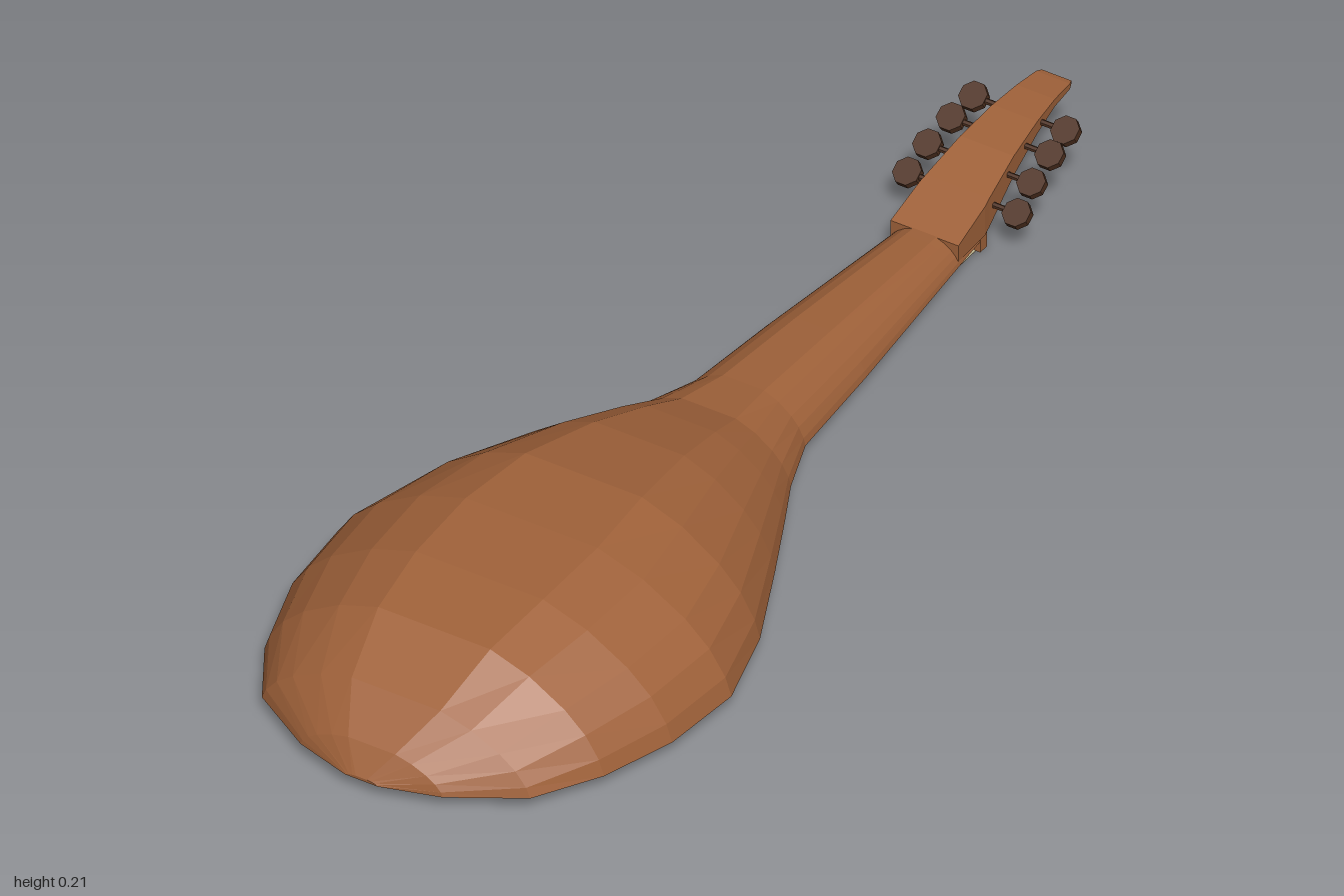
import * as THREE from 'three';

const wood = new THREE.MeshStandardMaterial({ color: 0xa0623a, flatShading: true });
wood.name = 'warm wood';
const darkWood = new THREE.MeshStandardMaterial({ color: 0x4e301f, flatShading: true });
darkWood.name = 'dark wood';
const gut = new THREE.MeshStandardMaterial({ color: 0xc4ba94 });
gut.name = 'gut string';

const BOARD = 0.027; // height of the flat soundboard

function add(parent, name, geometry, material, x = 0, y = 0, z = 0) {
  const mesh = new THREE.Mesh(geometry, material);
  mesh.name = name;
  mesh.position.set(x, y, z);
  parent.add(mesh);
  return mesh;
}

// Skin over closed rings [x, y, z], each counter-clockwise from +z, running towards -z
function loft(rings) {
  const n = rings[0].length;
  const index = [];
  for (let j = 0; j < rings.length - 1; j++) {
    for (let i = 0; i < n; i++) {
      const a = j * n + i, b = j * n + (i + 1) % n;
      index.push(a, a + n, b, b, a + n, b + n);
    }
  }
  const last = (rings.length - 1) * n;
  for (let i = 1; i < n - 1; i++) {
    index.push(0, i, i + 1, last, last + i + 1, last + i);
  }
  const g = new THREE.BufferGeometry();
  g.setAttribute('position', new THREE.Float32BufferAttribute(rings.flat(2), 3));
  g.setIndex(index);
  g.computeVertexNormals();
  return g;
}

// Bowl and neck: [z, half width, top height]
function bodyGeometry() {
  const stations = [
    [1.0, 0.03, 0.032], [0.97, 0.13, 0.075], [0.9, 0.245, 0.13], [0.79, 0.31, 0.188],
    [0.66, 0.352, 0.208], [0.51, 0.365, 0.215], [0.36, 0.322, 0.213], [0.2, 0.248, 0.183],
    [0.08, 0.19, 0.146], [0.0, 0.15, 0.116], [-0.1, 0.113, 0.103], [-0.3, 0.097, 0.09],
    [-0.6, 0.066, 0.067], [-0.7, 0.056, 0.06],
  ];
  // right half of the bowl section, as fractions of half width and height
  const half = [[1, 0], [0.97, 0.17], [0.89, 0.4], [0.77, 0.61], [0.56, 0.85], [0.33, 1]];
  const section = [...half, ...half.map(([x, y]) => [-x, y]).reverse()];
  return loft(stations.map(([z, w, top]) =>
    section.map(([x, y]) => [x * w, BOARD + y * (top - BOARD), z])));
}

// Curved peg box, hollow underneath: [z, half width, underside, top, hollow depth]
function pegBoxGeometry() {
  const stations = [
    [-0.62, 0.062, 0.035, 0.065, 0], [-0.7, 0.06, 0.035, 0.09, 0],
    [-0.715, 0.058, 0.04, 0.095, 0.035], [-0.8, 0.049, 0.083, 0.12, 0.024],
    [-0.88, 0.041, 0.11, 0.133, 0.013], [-0.94, 0.035, 0.122, 0.136, 0],
    [-0.99, 0.031, 0.123, 0.133, 0], [-1.0, 0.027, 0.125, 0.131, 0],
  ];
  return loft(stations.map(([z, w, low, top, d]) => {
    const v = w - 0.012;
    return [[-w, top], [-w, low], [-v, low], [-v, low + d], [v, low + d], [v, low], [w, low], [w, top]]
      .map(([x, y]) => [x, y, z]);
  }));
}

// Flat octagonal ring lying in the xz plane
function octagonRing(outer, inner, depth) {
  const outline = (r) => Array.from({ length: 8 }, (_, i) =>
    new THREE.Vector2(r * Math.cos(i * Math.PI / 4), r * Math.sin(i * Math.PI / 4)));
  const shape = new THREE.Shape(outline(outer));
  shape.holes.push(new THREE.Path(outline(inner)));
  const g = new THREE.ExtrudeGeometry(shape, { depth, bevelEnabled: false });
  return g.rotateX(Math.PI / 2);
}

export function createModel() {
  const lute = new THREE.Group();
  lute.name = 'lute';

  add(lute, 'bowlAndNeck', bodyGeometry(), wood);
  add(lute, 'pegBox', pegBoxGeometry(), wood);
  add(lute, 'bridge', new THREE.BoxGeometry(0.31, 0.02, 0.028), wood, 0, 0.018, 0.835);
  add(lute, 'nut', new THREE.BoxGeometry(0.115, 0.028, 0.02), wood, 0, 0.021, -0.7);

  // Rosette: nested rings joined by spokes
  const rosette = new THREE.Group();
  rosette.name = 'rosette';
  rosette.position.set(0, BOARD, 0.31);
  lute.add(rosette);
  for (const [outer, inner] of [[0.16, 0.145], [0.112, 0.099], [0.06, 0.048]]) {
    add(rosette, 'rosetteRing', octagonRing(outer, inner, 0.013), wood);
  }
  for (let i = 0; i < 8; i++) {
    const a = i * Math.PI / 4;
    const spoke = add(rosette, 'rosetteSpoke', new THREE.BoxGeometry(0.1, 0.01, 0.01), wood,
      0.1 * Math.cos(a), -0.005, 0.1 * Math.sin(a));
    spoke.rotation.y = -a;
  }

  // Strings from the bridge over the nut into the peg box
  for (let i = -3; i <= 3; i++) {
    const path = new THREE.CurvePath();
    const points = [
      [i * 0.0193, 0.024, 0.853], [i * 0.0193, 0.006, 0.851], [i * 0.015, 0.006, -0.712],
      [i * 0.011, 0.085, -0.8], [i * 0.006, 0.12, -0.9],
    ].map((p) => new THREE.Vector3(...p));
    for (let k = 1; k < points.length; k++) path.add(new THREE.LineCurve3(points[k - 1], points[k]));
    for (const line of path.curves) {
      add(lute, 'string', new THREE.TubeGeometry(line, 1, 0.0028, 6), gut);
    }
  }

  // Pegs on both sides: [z, height, reach]
  const pegs = [[-0.73, 0.073, 0.1], [-0.78, 0.098, 0.095], [-0.84, 0.113, 0.09], [-0.895, 0.122, 0.084]];
  for (const [z, y, reach] of pegs) {
    for (const side of [-1, 1]) {
      const peg = new THREE.Group();
      peg.name = side > 0 ? 'leftPeg' : 'rightPeg';
      peg.position.set(0, y, z);
      peg.rotation.x = 0.6;
      lute.add(peg);
      const shaft = new THREE.CylinderGeometry(0.005, 0.005, reach, 6).rotateZ(Math.PI / 2);
      add(peg, 'pegShaft', shaft, darkWood, side * reach / 2);
      const head = new THREE.CylinderGeometry(0.024, 0.024, 0.013, 8).rotateY(Math.PI / 8);
      add(peg, 'pegHead', head, darkWood, side * reach);
    }
  }
  return lute;
}
